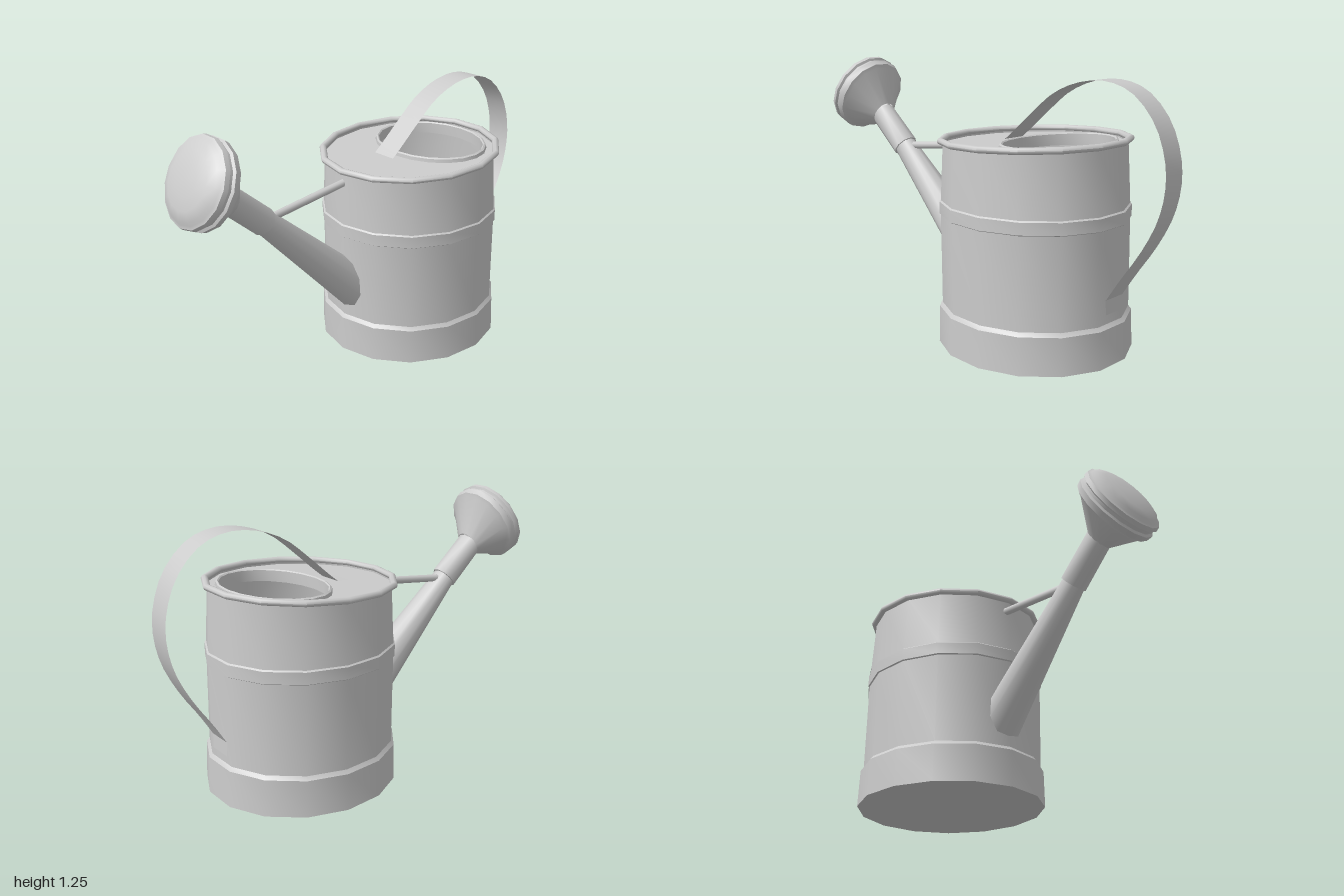
import * as THREE from 'three';
import { toCreasedNormals } from 'three/addons/utils/BufferGeometryUtils.js';

const SIDES = 15;
const STRETCH = 1.055; // the can is slightly deeper than wide
const CX = -0.005;
const material = new THREE.MeshStandardMaterial({ color: 0xcccccc, side: THREE.DoubleSide });

function addMesh(group, name, geometry, crease = 0.55) {
  const mesh = new THREE.Mesh(toCreasedNormals(geometry, crease), material);
  mesh.name = name;
  group.add(mesh);
  return mesh;
}

function lathe(profile, sides) {
  return new THREE.LatheGeometry(profile.map(([r, y]) => new THREE.Vector2(r, y)), sides);
}

// Moves every vertex of a geometry by a rule
function warp(geometry, rule) {
  const p = geometry.attributes.position;
  const v = new THREE.Vector3();
  for (let i = 0; i < p.count; i++) {
    rule(v.fromBufferAttribute(p, i));
    p.setXYZ(i, v.x, v.y, v.z);
  }
  return geometry;
}

// The can leans a little and its top slopes down towards the front
function shapeCan(v) {
  v.z = v.z * STRETCH - 0.31 + 0.015 * v.y;
  v.x += CX;
  if (v.y > 0.8) v.y -= (v.z + 0.3) * 0.036;
}

// Tapered round bar between two points [x, y, z]
function bar(group, name, from, to, r0, r1, sides, open = false) {
  const a = new THREE.Vector3(...from);
  const b = new THREE.Vector3(...to);
  const geometry = new THREE.CylinderGeometry(r1, r0, a.distanceTo(b), sides, 1, open);
  const mesh = addMesh(group, name, geometry, 0.85);
  mesh.position.copy(a).add(b).multiplyScalar(0.5);
  mesh.quaternion.setFromUnitVectors(new THREE.Vector3(0, 1, 0), b.sub(a).normalize());
}

function ellipsePoints(rx, ry, cy, sides) {
  return Array.from({ length: sides }, (_, i) => {
    const t = (i / sides) * Math.PI * 2;
    return new THREE.Vector2(rx * Math.sin(t), cy + ry * Math.cos(t));
  });
}

// Flat strip swept along a curve, with its width along x
function ribbon(points, width, steps) {
  const curve = new THREE.CatmullRomCurve3(points.map((p) => new THREE.Vector3(...p)));
  const position = [];
  const index = [];
  curve.getPoints(steps).forEach((p, i) => {
    position.push(p.x - width / 2, p.y, p.z, p.x + width / 2, p.y, p.z);
    if (i < steps) {
      const k = i * 2;
      index.push(k, k + 1, k + 2, k + 1, k + 3, k + 2);
    }
  });
  const geometry = new THREE.BufferGeometry();
  geometry.setAttribute('position', new THREE.Float32BufferAttribute(position, 3));
  geometry.setIndex(index);
  return geometry;
}

export function createModel() {
  const can = new THREE.Group();
  can.name = 'wateringCan';

  // Body with foot band and middle band
  addMesh(can, 'body', warp(lathe([
    [0, 0], [0.43, 0], [0.425, 0.17], [0.412, 0.187], [0.412, 0.6], [0.418, 0.604],
    [0.418, 0.658], [0.411, 0.664], [0.398, 0.93],
  ], SIDES), shapeCan));

  // Rolled rim
  const rimProfile = Array.from({ length: 9 }, (_, i) => {
    const t = (i / 8) * Math.PI * 2;
    return [0.407 + 0.016 * Math.cos(t), 0.94 + 0.015 * Math.sin(t)];
  });
  addMesh(can, 'rim', warp(lathe(rimProfile, SIDES), shapeCan), 0.9);

  // Lid plate with an offset oval filling hole
  const plate = new THREE.Shape(ellipsePoints(0.398, 0.398, 0, SIDES));
  plate.holes.push(new THREE.Path(ellipsePoints(0.293, 0.218, -0.135, 20)));
  const lid = new THREE.ShapeGeometry(plate);
  addMesh(can, 'lid', warp(lid, (v) => {
    v.set(v.x, 0.921, v.y);
    shapeCan(v);
  }));

  // Raised lip of the filling hole
  addMesh(can, 'fillingLip', warp(lathe([
    [0.28, 0.885], [0.28, 0.937], [0.287, 0.942], [0.296, 0.937], [0.3, 0.915],
  ].reverse(), 20), (v) => {
    v.z = v.z * 0.745 - 0.135;
    shapeCan(v);
  }));

  // Spout, collar and brace
  bar(can, 'spout', [-0.008, 0.285, 0.032], [-0.01, 0.82, 0.585], 0.104, 0.054, 10, true);
  bar(can, 'spoutNeck', [-0.01, 0.81, 0.575], [-0.01, 0.965, 0.75], 0.063, 0.061, 10);
  bar(can, 'brace', [-0.015, 0.868, 0.09], [-0.015, 0.815, 0.54], 0.018, 0.018, 8);

  // Sprinkler head: a cone bent to meet the neck, a rim and a domed face
  const head = warp(lathe([
    [0.062, -0.16], [0.172, -0.05], [0.19, -0.04], [0.196, -0.012], [0.186, -0.004],
    [0.186, 0.008], [0.196, 0.016], [0.192, 0.036], [0.178, 0.042],
    [0.165, 0.056], [0.125, 0.07], [0.07, 0.079], [0, 0.083],
  ], 15), (v) => {
    if (v.y < -0.1) v.z += 0.04;
  });
  const rose = addMesh(can, 'sprinklerHead', head, 0.6);
  rose.position.set(-0.008, 1.065, 0.866);
  rose.rotation.x = 1.126;

  // Strap handle from the lid over to the back, with its end tabs
  addMesh(can, 'handle', ribbon([
    [-0.03, 0.925, -0.15], [-0.03, 0.965, -0.2], [-0.03, 1.06, -0.31], [-0.03, 1.15, -0.425],
    [-0.03, 1.205, -0.56], [-0.03, 1.218, -0.7], [-0.03, 1.18, -0.825], [-0.03, 1.07, -0.935],
    [-0.03, 0.93, -0.99], [-0.03, 0.81, -0.998], [-0.028, 0.68, -0.97], [-0.024, 0.54, -0.9],
    [-0.02, 0.4, -0.805], [-0.015, 0.3, -0.742],
  ], 0.12, 32), 0.9);
  addMesh(can, 'handleTopTab', ribbon([[-0.03, 0.925, -0.15], [-0.03, 0.922, -0.09]], 0.12, 1));
  addMesh(can, 'handleBackTab', ribbon([[-0.015, 0.3, -0.742], [-0.015, 0.235, -0.745]], 0.12, 1));

  return can;
}
